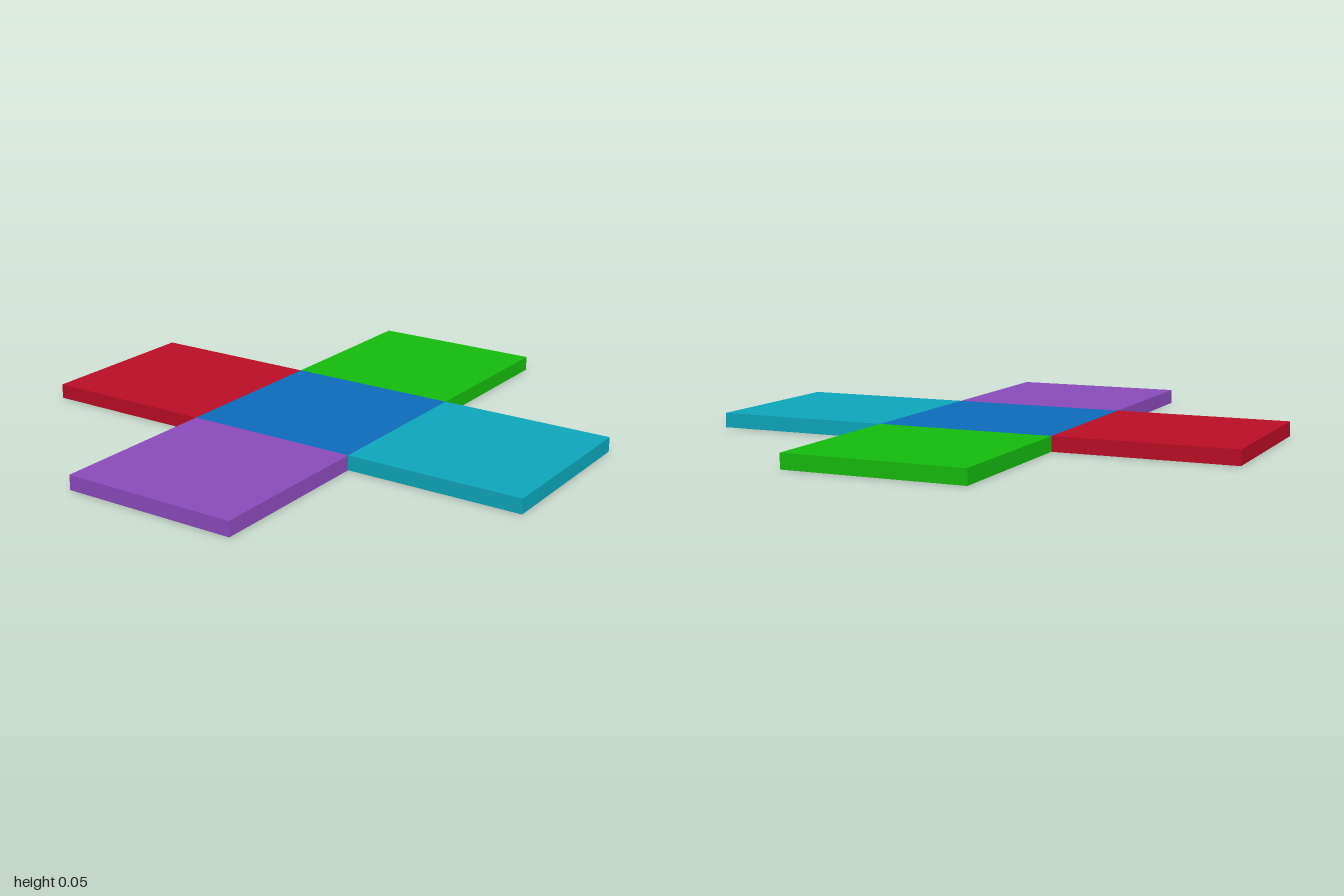
import * as THREE from 'three';

// Cross of five flat square tiles
export function createModel() {
  const group = new THREE.Group();
  const size = 2 / 3;
  const thickness = 0.055;
  const geometry = new THREE.BoxGeometry(size, thickness, size);

  // name, column (x), row (z), color
  const tiles = [
    ['centerTile', 0, 0, 0x0d6ab9],
    ['leftTile', 1, 0, 0x0da5b9],
    ['rightTile', -1, 0, 0xb90d25],
    ['frontTile', 0, 1, 0x8a4ab9],
    ['backTile', 0, -1, 0x16b90d],
  ];

  for (const [name, column, row, color] of tiles) {
    const tile = new THREE.Mesh(geometry, new THREE.MeshStandardMaterial({ color }));
    tile.name = name;
    tile.position.set(column * size, thickness / 2, row * size);
    group.add(tile);
  }
  return group;
}
